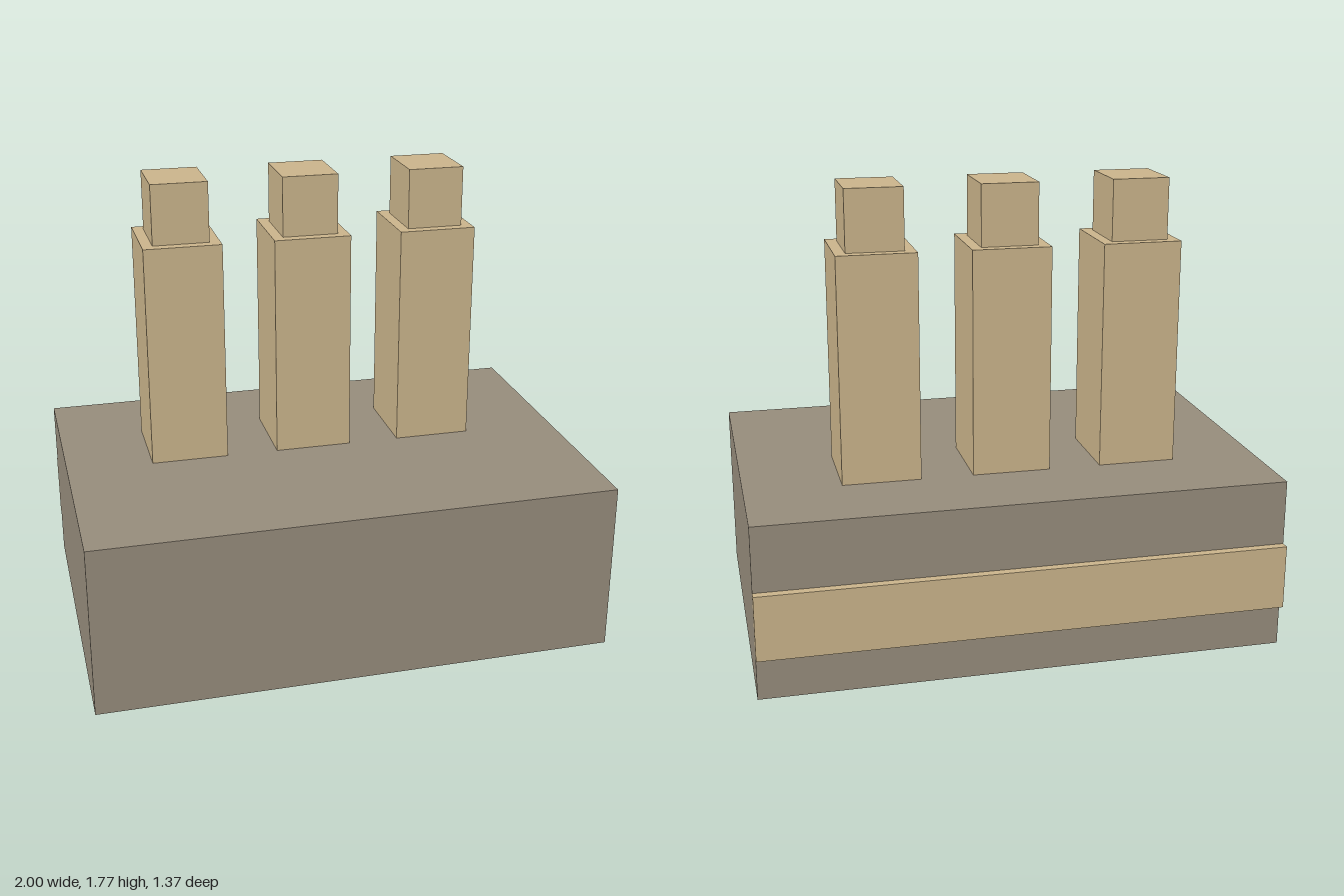
import * as THREE from 'three';

export function createModel() {
  const group = new THREE.Group();
  const stone = new THREE.MeshStandardMaterial({ color: 0x958b7b });
  stone.name = 'grey brown';
  const sand = new THREE.MeshStandardMaterial({ color: 0xc9b38a });
  sand.name = 'sand';

  // Box given by its size, the centre in x and z, and its bottom height
  function box(name, material, [w, h, d], [x, bottom, z], parent = group) {
    const mesh = new THREE.Mesh(new THREE.BoxGeometry(w, h, d), material);
    mesh.name = name;
    mesh.position.set(x, bottom + h / 2, z);
    parent.add(mesh);
  }

  // Main block and the band along its back
  box('body', stone, [2, 0.667, 1.333], [0, 0, 0.017]);
  box('backBand', sand, [2, 0.25, 0.033], [0, 0.167, -0.667]);

  // Row of three stepped towers
  [-0.517, -0.017, 0.483].forEach((x, i) => {
    const tower = new THREE.Group();
    tower.name = `tower${i + 1}`;
    tower.position.set(x, 0.667, -0.15);
    box('shaft', sand, [0.3, 0.867, 0.333], [0, 0, 0], tower);
    box('cap', sand, [0.217, 0.233, 0.25], [0, 0.867, 0], tower);
    group.add(tower);
  });

  return group;
}
